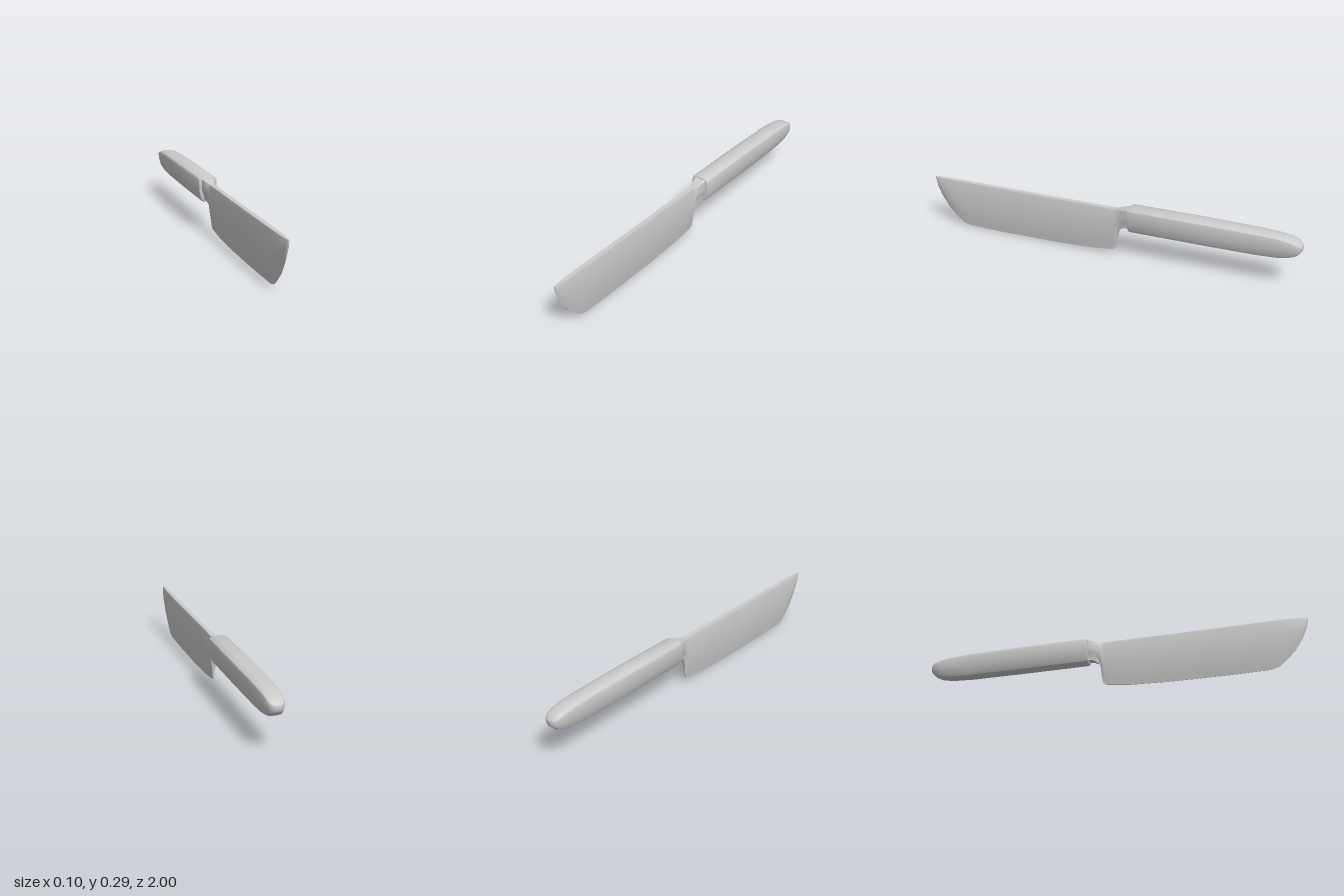
import * as THREE from 'three';
import { toCreasedNormals } from 'three/addons/utils/BufferGeometryUtils.js';

// Skin closed rings (counter-clockwise seen from +z), ordered from +z to -z, and cap both ends.
function loft(rings, crease) {
  const n = rings[0].length, pos = [], idx = [];
  rings.forEach(r => r.forEach(p => pos.push(...p)));
  for (let i = 0; i < rings.length - 1; i++) {
    for (let j = 0; j < n; j++) {
      const k = (j + 1) % n;
      const a = i * n + j, b = i * n + k, c = b + n, d = a + n;
      idx.push(a, d, c, a, c, b);
    }
  }
  for (const i of [0, rings.length - 1]) {
    const centre = pos.length / 3;
    for (let axis = 0; axis < 3; axis++) pos.push(rings[i].reduce((s, p) => s + p[axis], 0) / n);
    for (let j = 0; j < n; j++) {
      const a = i * n + j, b = i * n + (j + 1) % n;
      if (i === 0) idx.push(centre, a, b);
      else idx.push(centre, b, a);
    }
  }
  const g = new THREE.BufferGeometry();
  g.setAttribute('position', new THREE.Float32BufferAttribute(pos, 3));
  g.setIndex(idx);
  return toCreasedNormals(g, crease);
}

// Mirror a half outline, listed bottom to top on the +x side, into a closed ring.
function mirrorRing(half, z) {
  const right = half.map(([x, y]) => [x, y, z]);
  const left = half.map(([x, y]) => [-x, y, z]).reverse();
  return [...right, ...left];
}

// Blade section: flat spine, slightly full cheeks, bevel down to the edge.
function bladeRing([z, top, bottom, w, edge]) {
  const y = f => top + (bottom - top) * f;
  return mirrorRing([
    [edge, bottom],
    [Math.max(w * 0.55, edge), y(0.84)],
    [Math.max(w * 0.95, edge), y(0.65)],
    [w * 1.1, y(0.42)],
    [w, y(0.05)],
    [w * 0.8, top],
  ], z);
}

// Handle section: crowned top, upright sides tapering to a narrower rounded belly.
function handleRing([z, top, bottom, w]) {
  const y = f => bottom + (top - bottom) * f;
  return mirrorRing([
    [w * 0.3, bottom],
    [w * 0.64, y(0.05)],
    [w * 0.82, y(0.19)],
    [w * 0.95, y(0.45)],
    [w, y(0.8)],
    [w * 0.92, y(0.91)],
    [w * 0.78, y(0.95)],
    [w * 0.35, top],
  ], z);
}

export function createModel() {
  const group = new THREE.Group();
  const material = new THREE.MeshStandardMaterial({ color: 0xcccccc });
  const add = (name, geometry) => {
    const mesh = new THREE.Mesh(geometry, material);
    mesh.name = name;
    group.add(mesh);
  };

  // Blade, heel and neck: z, top, bottom, half width, half edge width
  add('blade', loft([
    [1.0, 0.262, 0.25, 0.003, 0.001],
    [0.99, 0.262, 0.205, 0.006, 0.001],
    [0.965, 0.262, 0.15, 0.009, 0.001],
    [0.925, 0.262, 0.09, 0.012, 0.001],
    [0.88, 0.262, 0.045, 0.014, 0.001],
    [0.84, 0.262, 0.014, 0.014, 0.001],
    [0.8, 0.262, 0.004, 0.0145, 0.001],
    [0.6, 0.261, 0.001, 0.015, 0.001],
    [0.3, 0.26, 0.003, 0.015, 0.001],
    [0.1, 0.26, 0.011, 0.015, 0.002],
    [-0.03, 0.26, 0.027, 0.016, 0.003],
    [-0.045, 0.26, 0.04, 0.016, 0.004],
    [-0.052, 0.26, 0.075, 0.017, 0.006],
    [-0.056, 0.261, 0.115, 0.018, 0.009],
    [-0.066, 0.263, 0.146, 0.02, 0.012],
    [-0.085, 0.268, 0.16, 0.024, 0.016],
    [-0.105, 0.274, 0.166, 0.029, 0.02],
    [-0.13, 0.28, 0.168, 0.033, 0.022],
  ].map(bladeRing), 0.6));

  // Handle: z, top, bottom, half width
  add('handle', loft([
    [-0.12, 0.276, 0.164, 0.041],
    [-0.122, 0.284, 0.155, 0.048],
    [-0.132, 0.288, 0.151, 0.051],
    [-0.5, 0.288, 0.151, 0.0515],
    [-0.78, 0.284, 0.153, 0.05],
    [-0.88, 0.279, 0.158, 0.048],
    [-0.94, 0.27, 0.168, 0.045],
    [-0.975, 0.258, 0.184, 0.04],
    [-0.992, 0.246, 0.2, 0.03],
    [-1.0, 0.236, 0.212, 0.018],
  ].map(handleRing), 0.65));

  return group;
}
